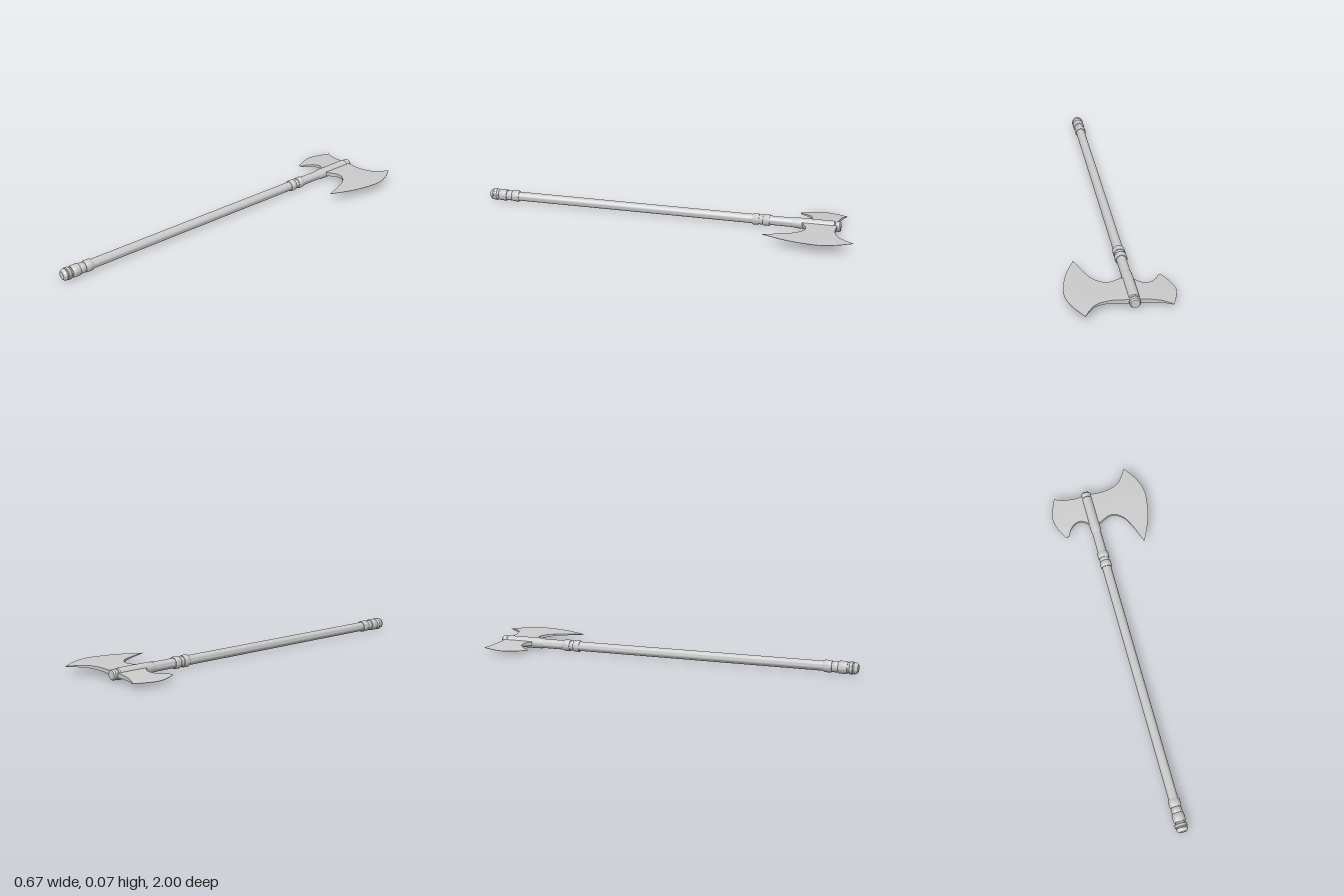
import * as THREE from 'three';
import { toCreasedNormals } from 'three/addons/utils/BufferGeometryUtils.js';

const BUTT = new THREE.Vector3(-0.306, 0.035, 0.993);
const TIP = new THREE.Vector3(0.027, 0.035, -0.953);
const AXIS = TIP.clone().sub(BUTT);
const LENGTH = AXIS.length();
AXIS.normalize();

const material = new THREE.MeshStandardMaterial({ color: 0xcccccc });

// Turned part along the shaft; profile points are [radius, distance from the butt]
function turned(name, profile, sides = 28) {
  const points = profile.map(([r, t]) => new THREE.Vector2(r, t));
  const geometry = toCreasedNormals(new THREE.LatheGeometry(points, sides), 0.6);
  const mesh = new THREE.Mesh(geometry, material);
  mesh.name = name;
  mesh.position.copy(BUTT);
  mesh.quaternion.setFromUnitVectors(new THREE.Vector3(0, 1, 0), AXIS);
  return mesh;
}

// Collar with softened rims
function collar(name, start, end, r) {
  const b = 0.005;
  return turned(name, [[0.02, start], [r - 0.003, start], [r, start + b],
    [r, end - b], [r - 0.003, end], [0.02, end]]);
}

// Blade patch between four edges, given as x/z points seen from above:
// low and high run outward from the shaft, rim joins their outer ends.
function blade(name, low, high, rim) {
  const spline = (pts) => new THREE.SplineCurve(pts.map(([x, z]) => new THREE.Vector2(x, z)));
  const [lowC, highC, rimC] = [low, high, rim].map(spline);
  const [a, b, c, d] = [lowC.getPoint(0), highC.getPoint(0), lowC.getPoint(1), highC.getPoint(1)];
  const geometry = new THREE.BoxGeometry(1, 1, 1, 28, 24, 1);
  const pos = geometry.attributes.position;
  for (let i = 0; i < pos.count; i++) {
    const u = pos.getX(i) + 0.5, v = pos.getY(i) + 0.5, side = Math.sign(pos.getZ(i));
    const p = lowC.getPoint(u).multiplyScalar(1 - v)
      .addScaledVector(highC.getPoint(u), v)
      .addScaledVector(a.clone().lerp(b, v), 1 - u)
      .addScaledVector(rimC.getPoint(v), u)
      .addScaledVector(a.clone().lerp(b, v), -(1 - u))
      .addScaledVector(c.clone().lerp(d, v), -u);
    // The head is rolled slightly about the shaft and thins toward the rim
    const axisX = TIP.x + (p.y - TIP.z) * AXIS.x / AXIS.z;
    const half = 0.001 + 0.0105 * (1 - Math.pow(u, 1.4));
    pos.setXYZ(i, p.x, 0.036 + 0.053 * (p.x - axisX) + side * half, p.y);
  }
  geometry.computeVertexNormals();
  const mesh = new THREE.Mesh(geometry, material);
  mesh.name = name;
  return mesh;
}

export function createModel() {
  const axe = new THREE.Group();
  axe.name = 'battleAxe';

  // Handle
  axe.add(turned('shaft', [[0, 0.02], [0.025, 0.02], [0.025, LENGTH - 0.03], [0, LENGTH - 0.03]]));

  // Pommel and grip collars
  axe.add(turned('pommel', [[0, 0], [0.02, 0], [0.027, 0.006], [0.031, 0.018], [0.029, 0.024],
    [0.033, 0.027], [0.033, 0.04], [0.029, 0.045], [0.026, 0.05], [0, 0.05]]));
  axe.add(collar('lowerGripCollar', 0.053, 0.098, 0.032));
  axe.add(collar('gripBand', 0.098, 0.13, 0.028));
  axe.add(collar('upperGripCollar', 0.13, 0.172, 0.031));

  // Collars below the head
  axe.add(collar('lowerNeckCollar', 1.505, 1.54, 0.031));
  axe.add(collar('neckBand', 1.54, 1.562, 0.027));
  axe.add(collar('upperNeckCollar', 1.562, 1.598, 0.031));

  // Head socket and end cap
  axe.add(turned('headSocket', [[0.024, 1.715], [0.028, 1.735], [0.029, 1.76],
    [0.029, LENGTH - 0.035], [0.025, LENGTH - 0.03], [0, LENGTH - 0.03]], 16));
  axe.add(turned('endCap', [[0, LENGTH - 0.04], [0.023, LENGTH - 0.03], [0.027, LENGTH - 0.024],
    [0.027, LENGTH - 0.007], [0.022, LENGTH], [0, LENGTH]]));

  // Large bearded blade
  axe.add(blade('largeBlade',
    [[-0.005, -0.745], [0.04, -0.754], [0.085, -0.766], [0.125, -0.755], [0.162, -0.71], [0.183, -0.635], [0.199, -0.538]],
    [[0.022, -0.94], [0.06, -0.928], [0.135, -0.914], [0.205, -0.924], [0.25, -0.958], [0.284, -0.998]],
    [[0.199, -0.538], [0.267, -0.64], [0.31, -0.737], [0.331, -0.825], [0.318, -0.915], [0.284, -0.998]]));

  // Small rear blade
  axe.add(blade('smallBlade',
    [[0.02, -0.938], [-0.035, -0.944], [-0.09, -0.962], [-0.122, -0.98], [-0.146, -1]],
    [[-0.003, -0.745], [-0.022, -0.756], [-0.042, -0.784], [-0.07, -0.806], [-0.105, -0.805], [-0.14, -0.782], [-0.16, -0.755], [-0.18, -0.751]],
    [[-0.146, -1], [-0.18, -0.944], [-0.204, -0.885], [-0.2, -0.82], [-0.18, -0.751]]));

  return axe;
}
